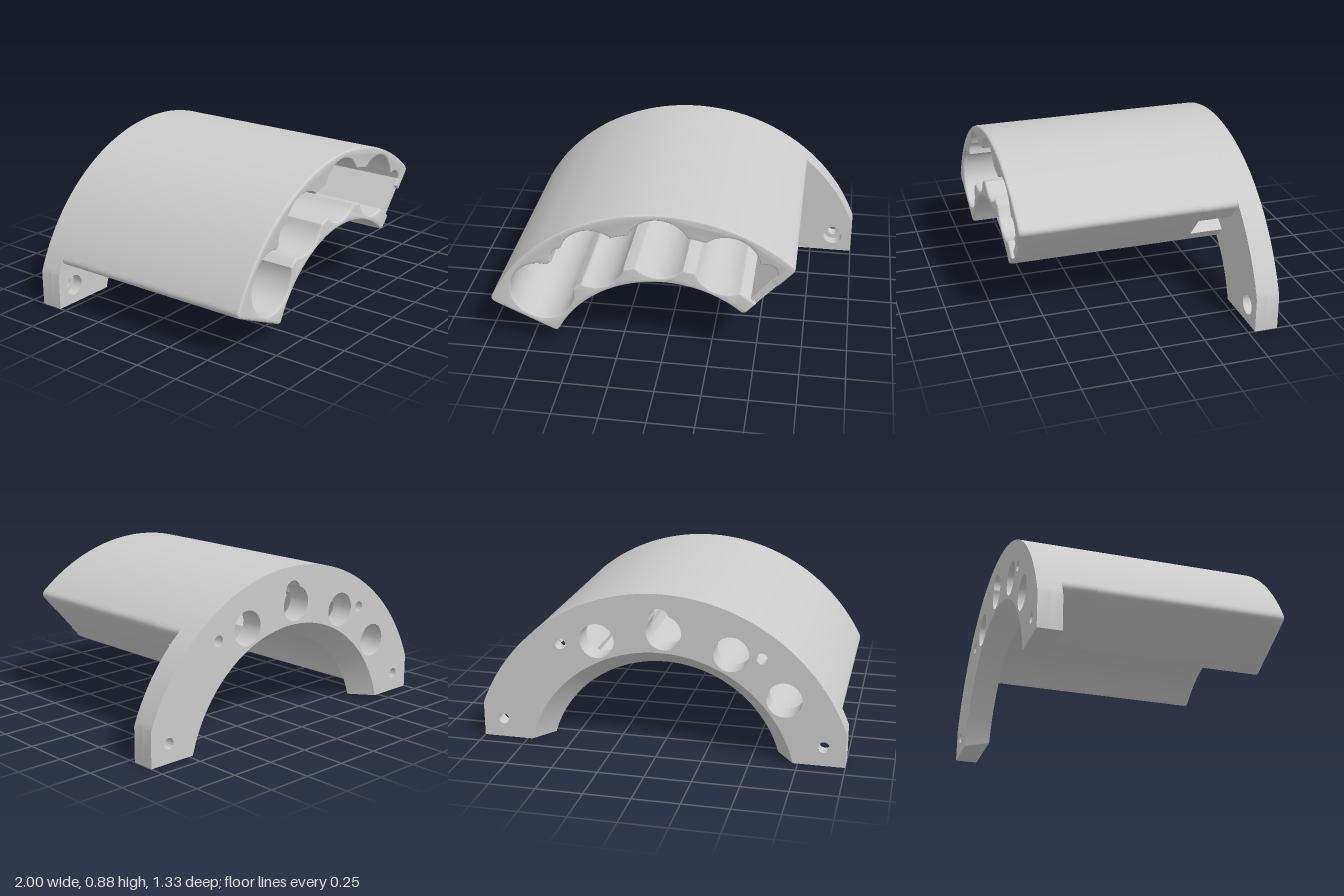
import * as THREE from 'three';
import { toCreasedNormals } from 'three/addons/utils/BufferGeometryUtils.js';

const CY = -0.188;              // common centre of all arcs
const R_OUT = 1.07, R_IN = 0.655, R_BACK = 0.748;
const A_RIGHT = 48.5, A_LEFT = 155.1, A_POCKET = 51.4;   // end faces, in degrees
const BACK = -0.667, FLANGE = -0.538, FRONT = 0.667;

const rad = THREE.MathUtils.degToRad;
const deg = THREE.MathUtils.radToDeg;
const polar = (r, a) => new THREE.Vector2(r * Math.cos(rad(a)), CY + r * Math.sin(rad(a)));

function arc(r, a0, a1, n = 72) {
  return Array.from({ length: n + 1 }, (_, i) => polar(r, a0 + (a1 - a0) * i / n));
}
// Arc from the ground on the right, over the top, to the ground on the left
function groundArc(r) {
  const a = deg(Math.asin(-CY / r));
  return arc(r, a, 180 - a);
}
function corner(a, b, c) {
  return new THREE.QuadraticBezierCurve(a, b, c).getPoints(5);
}

// Near and far distance of a disc along a ray from the origin
function discHit(d, offset, R) {
  const s = R * R - (d * Math.sin(offset)) ** 2;
  if (s < 0 || Math.cos(offset) < 0) return null;
  const m = d * Math.cos(offset), h = Math.sqrt(s);
  return [m - h, m + h];
}

const bores = [[-0.67, 0.35], [-0.385, 0.58], [-0.025, 0.672], [0.34, 0.6]];
const bosses = [[-0.548, 0.57], [0.545, 0.57]];
const flangeScrews = [[-0.885, 0.105], [0.885, 0.105]];

// Pocket: an arc-shaped channel widened by round lobes
function pocketEdges() {
  const discs = [...bores.map(p => [...p, 0.175]), ...bosses.map(p => [...p, 0.062])];
  const outer = [], inner = [], start = 152.8, n = 180;
  for (let i = 0; i <= n; i++) {
    const a = start + (A_POCKET - start) * i / n;
    let lo = a > 141 ? 9 : 0.752, hi = a > 141 ? 0 : 0.95;
    for (const [x, y, R] of discs) {
      const hit = discHit(Math.hypot(x, y - CY), rad(a) - Math.atan2(y - CY, x), R);
      if (hit) { lo = Math.min(lo, hit[0]); hi = Math.max(hi, hit[1]); }
    }
    outer.push(polar(hi, a));
    inner.push(polar(lo, a));
  }
  outer.push(polar(0.925, A_POCKET));
  return { outer, inner };
}

// Body cross-section, with the right end wall closed or slotted open
function bodyShape(open) {
  const { outer, inner } = pocketEdges();
  outer.reverse();
  const slot = open
    ? [polar(0.925, A_RIGHT), ...outer, ...inner, polar(0.752, A_RIGHT)]
    : [];
  const shape = new THREE.Shape([
    ...corner(polar(R_OUT - 0.035, A_LEFT), polar(R_OUT, A_LEFT), polar(R_OUT, A_LEFT - 1.9)),
    ...arc(R_OUT, A_LEFT - 2.4, A_RIGHT + 2.4),
    ...corner(polar(R_OUT, A_RIGHT + 1.9), polar(R_OUT, A_RIGHT), polar(R_OUT - 0.035, A_RIGHT)),
    ...slot,
    ...corner(polar(R_IN + 0.03, A_RIGHT), polar(R_IN, A_RIGHT), polar(R_IN, A_RIGHT + 2.2)),
    ...arc(R_IN, A_RIGHT + 3, A_LEFT - 3),
    ...corner(polar(R_IN, A_LEFT - 2.2), polar(R_IN, A_LEFT), polar(R_IN + 0.03, A_LEFT)),
  ]);
  if (!open) shape.holes.push(new THREE.Path([...outer, ...inner]));
  return shape;
}

function circleHole(x, y, r) {
  return new THREE.Path().absarc(x, y, r, 0, Math.PI * 2, false);
}

// Round hole joined with a smaller offset one
function keyhole([x, y]) {
  const dx = -x, dy = 0.748 - y, pts = [];
  for (let i = 0; i < 96; i++) {
    const a = i / 96 * Math.PI * 2;
    const hit = discHit(Math.hypot(dx, dy), a - Math.atan2(dy, dx), 0.055);
    const r = Math.max(0.095, hit ? hit[1] : 0);
    pts.push(new THREE.Vector2(x + r * Math.cos(a), y + r * Math.sin(a)));
  }
  return new THREE.Path(pts);
}

function flangeShape(screwRadius) {
  const a = deg(Math.acos(1 / R_OUT));
  const shape = new THREE.Shape([
    new THREE.Vector2(-1, 0), ...arc(R_OUT, 180 - a, a),
    new THREE.Vector2(1, 0), ...groundArc(R_BACK),
  ]);
  bores.forEach((p, i) => shape.holes.push(i === 2 ? keyhole(p) : circleHole(...p, 0.095)));
  [...bosses, ...flangeScrews].forEach(p => shape.holes.push(circleHole(...p, screwRadius)));
  return shape;
}

// Wedge that gives the flange its conical inner edge, lofted from triangular sections
function conicalEdge() {
  const outer = groundArc(R_BACK), inner = groundArc(R_IN);
  const positions = [], index = [], last = outer.length - 1;
  outer.forEach((o, i) => {
    const f = inner[i];
    positions.push(o.x, o.y, BACK, f.x, f.y, FLANGE, o.x, o.y, FLANGE);
    if (i === last) return;
    const [b0, f0, o0, b1, f1, o1] = [0, 1, 2, 3, 4, 5].map(k => i * 3 + k);
    index.push(b0, f0, f1, b0, f1, b1);   // cone
    index.push(f0, o0, o1, f0, o1, f1);   // front ring
  });
  index.push(1, 0, 2, last * 3 + 1, last * 3 + 2, last * 3);   // feet
  const g = new THREE.BufferGeometry();
  g.setAttribute('position', new THREE.Float32BufferAttribute(positions, 3));
  g.setIndex(index);
  return g;
}

function extrude(shape, z0, z1) {
  return new THREE.ExtrudeGeometry(shape, { depth: z1 - z0, bevelEnabled: false, curveSegments: 32 })
    .translate(0, 0, z0);
}

export function createModel() {
  const group = new THREE.Group();
  const material = new THREE.MeshStandardMaterial({ color: 0xcccccc });
  const add = (name, geometry) => {
    const mesh = new THREE.Mesh(toCreasedNormals(geometry, 0.5), material);
    mesh.name = name;
    group.add(mesh);
  };

  // Mounting flange: through holes behind, counterbores in front
  add('flangeBack', extrude(flangeShape(0.03), BACK, -0.6));
  add('flangeFront', extrude(flangeShape(0.057), -0.6, FLANGE));
  add('flangeConicalEdge', conicalEdge());

  // Hollow housing: slotted at the back, closed along the middle
  add('housingSlottedBase', extrude(bodyShape(true), FLANGE, -0.35));
  add('housing', extrude(bodyShape(false), -0.35, 0.648));

  // Rounded front rim; its rear bevel is sunk into the housing
  const b = 0.013;
  const rim = new THREE.ExtrudeGeometry(bodyShape(true), {
    depth: 0.008, bevelEnabled: true, bevelThickness: b, bevelSize: b, bevelOffset: -b, bevelSegments: 3,
  });
  add('housingFrontRim', rim.translate(0, 0, FRONT - b - 0.008));
  return group;
}
